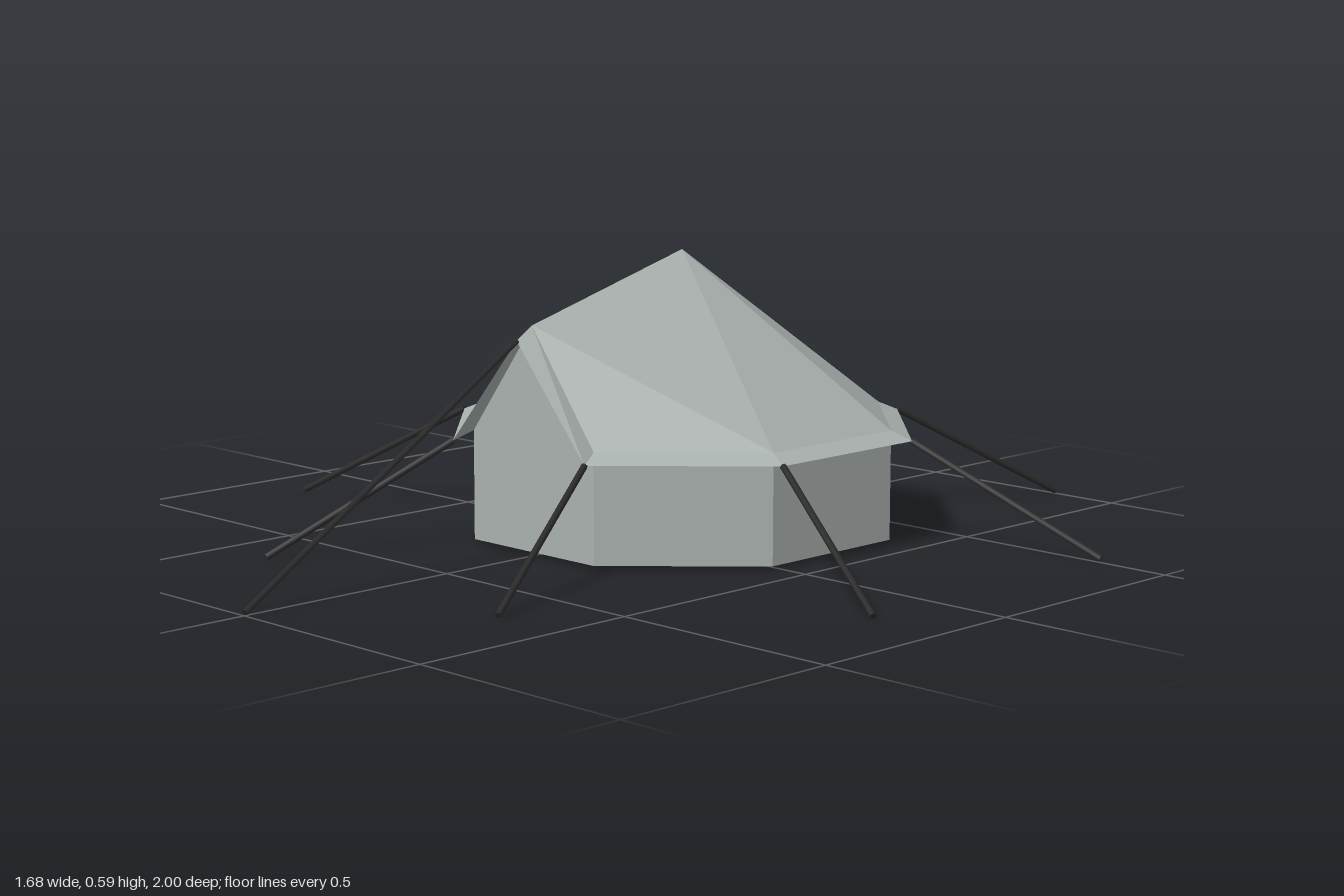
import * as THREE from 'three';

const V = (x, y, z) => new THREE.Vector3(x, y, z);
const CENTRE_Z = -0.16;

// Octagon ring with flat sides to the front, corner 0 is front left, counting towards +x
function ring(apothem, y) {
  const r = apothem / Math.cos(Math.PI / 8);
  return Array.from({ length: 8 }, (_, k) => {
    const a = Math.PI / 8 + (k * Math.PI) / 4;
    return V(r * Math.sin(a), y, CENTRE_Z + r * Math.cos(a));
  });
}

// Flat-faced mesh from a list of triangles and quads
function facetMesh(name, faces, material) {
  const points = [];
  for (const [a, b, c, d] of faces) {
    points.push(a, b, c);
    if (d) points.push(a, c, d);
  }
  const geometry = new THREE.BufferGeometry().setFromPoints(points);
  geometry.computeVertexNormals();
  const mesh = new THREE.Mesh(geometry, material);
  mesh.name = name;
  return mesh;
}

// Straight rope between two points
function rope(name, from, to, material) {
  const dir = to.clone().sub(from);
  const mesh = new THREE.Mesh(new THREE.CylinderGeometry(0.007, 0.007, dir.length(), 6), material);
  mesh.position.copy(from).add(to).multiplyScalar(0.5);
  mesh.quaternion.setFromUnitVectors(V(0, 1, 0), dir.normalize());
  mesh.name = name;
  return mesh;
}

export function createModel() {
  const group = new THREE.Group();
  group.name = 'bellTent';

  const canvas = new THREE.MeshStandardMaterial({ color: 0xa8b0ad, side: THREE.DoubleSide });
  canvas.name = 'grey canvas';
  canvas.flatShading = true;
  const cord = new THREE.MeshStandardMaterial({ color: 0x2a2a2a });
  cord.name = 'dark cord';

  const base = ring(0.428, 0.008);
  const top = ring(0.428, 0.237);
  const eave = ring(0.47, 0.218);
  const apex = V(0, 0.59, CENTRE_Z);
  const peak = V(0, 0.472, 0.268);
  const peakEave = V(0, 0.445, 0.31);
  const next = (i) => (i + 1) % 8;

  // Walls with a gable over the entrance
  const walls = base.map((b, i) => [b, base[next(i)], top[next(i)], top[i]]);
  walls.push([top[7], top[0], peak]);
  group.add(facetMesh('walls', walls, canvas));

  // Ground sheet
  const middle = V(0, 0.008, CENTRE_Z);
  group.add(facetMesh('groundSheet', base.map((b, i) => [middle, base[next(i)], b]), canvas));

  // Roof: six plain panels, then the ridge and porch panels
  const roof = [];
  for (let i = 1; i < 6; i++) roof.push([apex, top[i], top[i + 1]]);
  roof.push([apex, peak, top[1]], [apex, top[6], peak]);
  roof.push([peak, top[0], top[1]], [peak, top[6], top[7]]);
  group.add(facetMesh('roof', roof, canvas));

  // Flared overhang along the rim, rising over the porch
  const inner = [peak, ...top];
  const outer = [peakEave, ...eave];
  const flare = inner.map((p, i) => {
    const j = (i + 1) % inner.length;
    return [p, outer[i], outer[j], inner[j]];
  });
  group.add(facetMesh('eaveOverhang', flare, canvas));

  // Guy ropes radiating from each corner, and one from the porch peak
  eave.forEach((corner, i) => {
    const a = Math.PI / 8 + (i * Math.PI) / 4;
    const foot = V(Math.sin(a) * 0.907, 0.007, CENTRE_Z + Math.cos(a) * 0.907);
    group.add(rope('guyRope' + (i + 1), corner, foot, cord));
  });
  group.add(rope('porchRope', peakEave, V(0, 0.007, 0.998), cord));

  return group;
}
